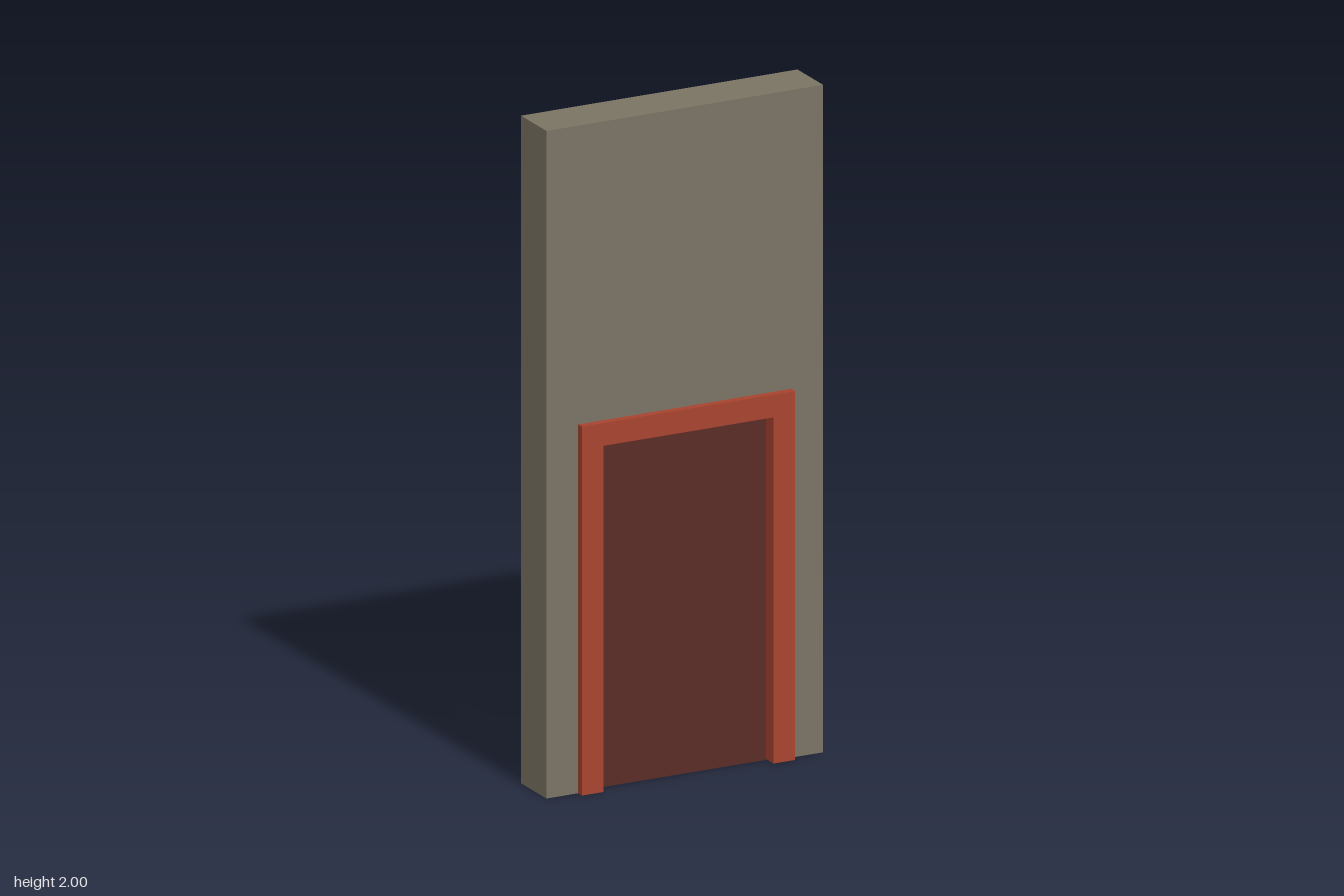
import * as THREE from 'three';

const WALL = { w: 0.888, h: 2, d: 0.155 };
const FRAME = { w: 0.684, h: 1.105, d: 0.202 };
const OPENING = { w: 0.546, h: 1.037 };

// Upside-down U standing on the ground, extruded along z and centred on z = 0
function portal(outer, inner, depth) {
  const o = outer.w / 2, i = inner.w / 2;
  const shape = new THREE.Shape([
    [-o, 0], [-i, 0], [-i, inner.h], [i, inner.h],
    [i, 0], [o, 0], [o, outer.h], [-o, outer.h],
  ].map(([x, y]) => new THREE.Vector2(x, y)));
  return new THREE.ExtrudeGeometry(shape, { depth, bevelEnabled: false }).translate(0, 0, -depth / 2);
}

export function createModel() {
  const model = new THREE.Group();
  model.name = 'doorway';
  const add = (name, geometry, color) => {
    const mesh = new THREE.Mesh(geometry, new THREE.MeshStandardMaterial({ color }));
    mesh.name = name;
    model.add(mesh);
    return mesh;
  };

  // Wall panel with the frame set into it
  add('wall', portal(WALL, FRAME, WALL.d), 0x7a7464);
  add('doorFrame', portal(FRAME, OPENING, FRAME.d), 0xa8432f);

  // Door slab: recessed at the front, almost flush at the back, with a fine gap all round
  const gap = 0.003, front = 0.061, back = -0.099;
  const height = OPENING.h - gap;
  const door = add('door', new THREE.BoxGeometry(OPENING.w - 2 * gap, height, front - back), 0x5a2c27);
  door.position.set(0, height / 2, (front + back) / 2);

  return model;
}
